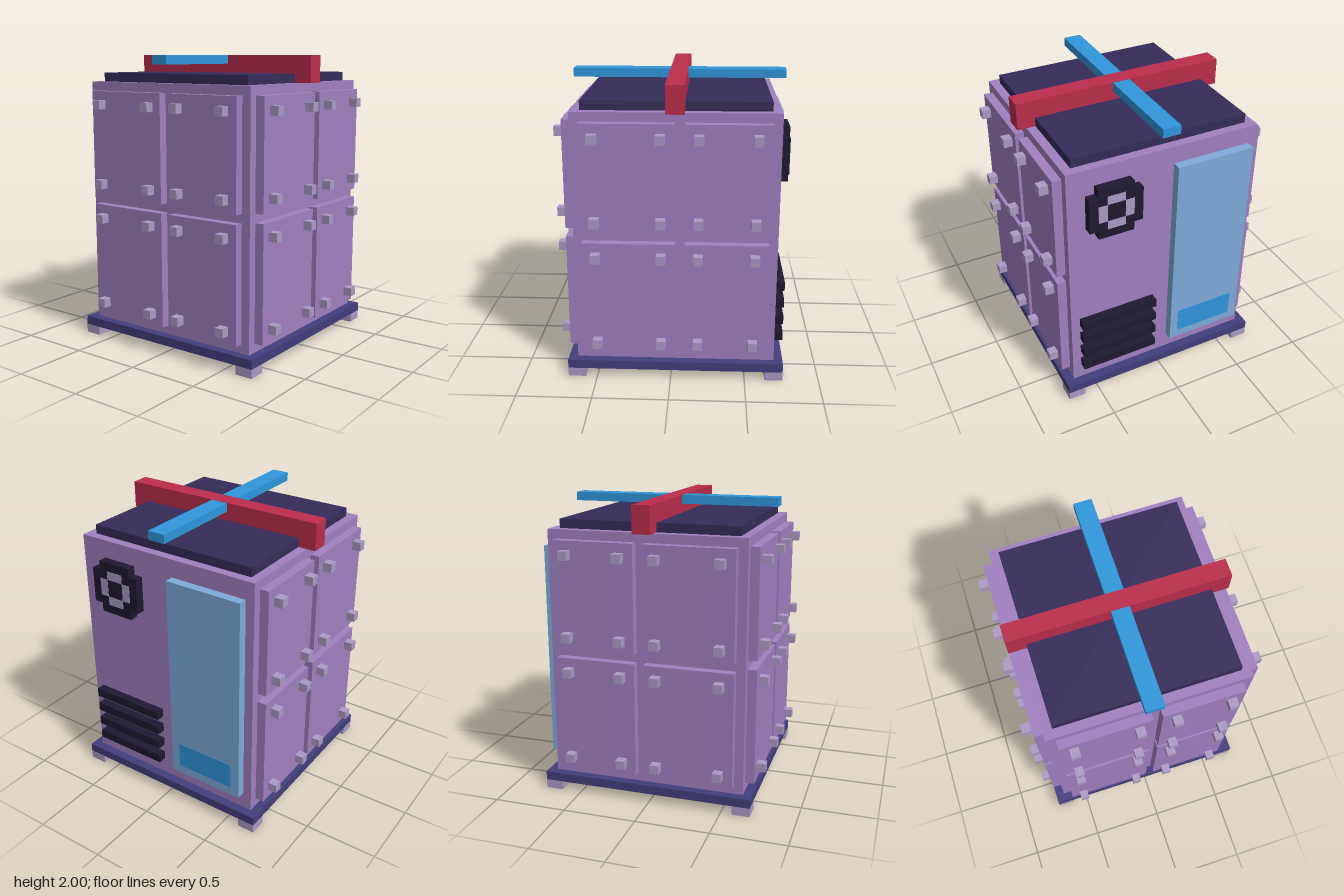
import * as THREE from 'three';

const UNIT = 2 / 33; // one grid cell; all sizes below are in cells

const mat = (color) => new THREE.MeshStandardMaterial({ color });
const M = {
  shell: mat(0xa080c0), lid: mat(0x352c58), base: mat(0x433e7c), dark: mat(0x1f1a30),
  red: mat(0xbb2d4b), blue: mat(0x2f97dc), pale: mat(0x7dabdb), bolt: mat(0xab9ac4),
};

// Box between two corners
function box(parent, name, material, [x0, y0, z0], [x1, y1, z1]) {
  const mesh = new THREE.Mesh(new THREE.BoxGeometry(x1 - x0, y1 - y0, z1 - z0), material);
  mesh.position.set((x0 + x1) / 2, (y0 + y1) / 2, (z0 + z1) / 2);
  mesh.name = name;
  parent.add(mesh);
}

function group(parent, name) {
  const g = new THREE.Group();
  g.name = name;
  parent.add(g);
  return g;
}

// Maps a box on a wall (a = along the wall, d = distance out) to model space
const sides = {
  front: (p, n, m, [a0, a1], [y0, y1], [d0, d1]) => box(p, n, m, [a0, y0, d0], [a1, y1, d1]),
  right: (p, n, m, [a0, a1], [y0, y1], [d0, d1]) => box(p, n, m, [-d1, y0, -a1], [-d0, y1, -a0]),
  left: (p, n, m, [a0, a1], [y0, y1], [d0, d1]) => box(p, n, m, [d0, y0, -a1], [d1, y1, -a0]),
};

// Four raised panels with a bolt near each corner
function wall(parent, side) {
  const g = group(parent, side + 'Panels');
  const put = sides[side];
  const columns = [{ span: [-10, 0], bolts: [-8.5, -1.5] }, { span: [1, 10], bolts: [2.5, 8.5] }];
  const rows = [{ span: [3, 16], bolts: [4.5, 14.5] }, { span: [17, 29], bolts: [18.5, 27.5] }];
  for (const c of columns) for (const r of rows) {
    put(g, 'panel', M.shell, c.span, r.span, [11, 12]);
    for (const a of c.bolts) for (const y of r.bolts)
      put(g, 'bolt', M.bolt, [a - 0.5, a + 0.5], [y - 0.5, y + 0.5], [12, 13]);
  }
}

export function createModel() {
  const model = new THREE.Group();
  model.name = 'crate';
  const root = group(model, 'crateParts');
  root.scale.setScalar(UNIT);
  root.position.z = -0.5 * UNIT;

  // Base with corner feet
  box(root, 'underside', M.dark, [-10, 0, -10], [10, 1, 10]);
  box(root, 'basePlate', M.base, [-12, 1, -12], [12, 2, 12]);
  for (const sx of [-1, 1]) for (const sz of [-1, 1])
    box(root, 'foot', M.bolt, [sx * 11 - 1, 0, sz * 11 - 1], [sx * 11 + 1, 1, sz * 11 + 1]);

  // Body and panelled walls
  box(root, 'body', M.shell, [-11, 2, -11], [11, 30, 11]);
  for (const side of ['front', 'right', 'left']) wall(root, side);

  // Lid with crossed bars
  box(root, 'lid', M.lid, [-10, 30, -10], [10, 31, 10]);
  box(root, 'crossBar', M.red, [-12, 30, -1], [12, 33, 1]);
  box(root, 'longBar', M.blue, [-1, 32, -12], [1, 32.98, 12]);

  // Back: door with a bright patch
  const back = group(root, 'back');
  box(back, 'door', M.pale, [-10, 4, -12], [-1, 28, -11]);
  box(back, 'doorPatch', M.blue, [-9, 5, -12.03], [-2, 8, -11.5]);

  // Back: vent slats
  for (let y = 4; y <= 10; y += 2)
    box(back, 'ventSlat', M.dark, [1, y, -12], [10, y + 1, -11]);

  // Back: stepped round fan with four light openings
  const fan = group(back, 'fan');
  fan.position.set(6, 25, 0);
  box(fan, 'fanHousing', M.dark, [-2, -3, -12], [2, 3, -11]);
  for (const s of [-1, 1]) {
    box(fan, 'fanHousingSide', M.dark, [s * 2.5 - 0.5, -2, -12], [s * 2.5 + 0.5, 2, -11]);
    box(fan, 'fanOpening', M.bolt, [s * 1.5 - 0.5, -1, -12.03], [s * 1.5 + 0.5, 1, -11.5]);
    box(fan, 'fanOpening', M.bolt, [-1, s * 1.5 - 0.5, -12.03], [1, s * 1.5 + 0.5, -11.5]);
  }
  return model;
}
